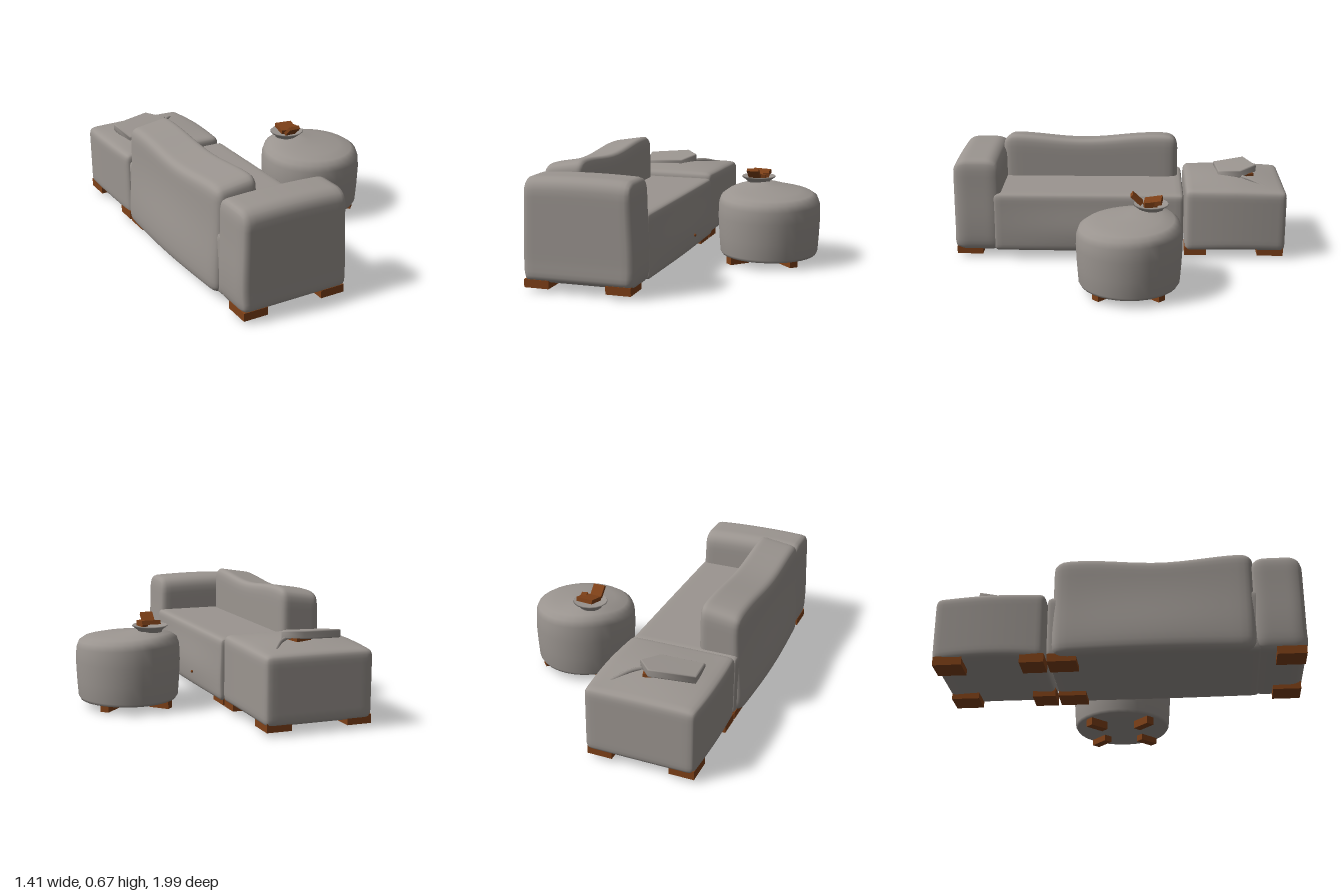
import * as THREE from 'three';
import { mergeVertices } from 'three/addons/utils/BufferGeometryUtils.js';

const fabric = new THREE.MeshStandardMaterial({ color: 0x9b9590 });
fabric.name = 'warm grey fabric';
fabric.side = THREE.DoubleSide;
const wood = new THREE.MeshStandardMaterial({ color: 0x7f4118 });
wood.name = 'brown wood';

const bump = (d, w) => Math.exp(-(d * d) / (w * w));

// Apply a rule to every vertex, then weld and smooth
function reshape(geometry, rule) {
  geometry.deleteAttribute('uv');
  geometry.deleteAttribute('normal');
  const g = mergeVertices(geometry, 1e-4);
  const pos = g.attributes.position;
  const v = new THREE.Vector3();
  for (let i = 0; i < pos.count; i++) {
    v.fromBufferAttribute(pos, i);
    rule(v);
    pos.setXYZ(i, v.x, v.y, v.z);
  }
  g.computeVertexNormals();
  return g;
}

// Upholstered block between two corners, with edge radii per axis
function softBlock(name, min, max, radii, deform = () => {}) {
  const lo = new THREE.Vector3(...min), hi = new THREE.Vector3(...max);
  const r = new THREE.Vector3(...radii);
  const inner = [lo.clone().add(r), hi.clone().sub(r)];
  const c = new THREE.Vector3(), d = new THREE.Vector3();
  const g = reshape(new THREE.BoxGeometry(1, 1, 1, 18, 18, 22), (v) => {
    for (const k of ['x', 'y', 'z']) {
      v[k] = lo[k] + (hi[k] - lo[k]) * (Math.sin(Math.PI * v[k]) / 2 + 0.5);
    }
    c.copy(v).clamp(inner[0], inner[1]);
    d.copy(v).sub(c).divide(r);
    // Round the shell by normalising the offset, keeping its face depth
    const reach = Math.max(Math.abs(d.x), Math.abs(d.y), Math.abs(d.z));
    if (reach > 0) d.setLength(reach);
    v.copy(c).add(d.multiply(r));
    deform(v);
  });
  return named(new THREE.Mesh(g, fabric), name);
}

function named(object, name) {
  object.name = name;
  return object;
}

function woodBlock(name, size, position, rotation = [0, 0, 0]) {
  const m = new THREE.Mesh(new THREE.BoxGeometry(...size), wood);
  m.position.set(...position);
  m.rotation.set(...rotation);
  return named(m, name);
}

function buildSofa() {
  const sofa = named(new THREE.Group(), 'sofa');
  // Seat front swells out near the bottom
  sofa.add(softBlock('seat', [-0.66, 0.05, -0.385], [-0.04, 0.41, 0.75], [0.03, 0.035, 0.02], (v) => {
    if (v.x > -0.3) v.x += 0.02 * bump(v.y - 0.17, 0.14) * bump(v.z - 0.15, 0.5);
  }));
  // Backrest: wavy top, higher on the inside, flared towards the base
  sofa.add(softBlock('backrest', [-0.665, 0.05, -0.355], [-0.42, 0.64, 0.725], [0.04, 0.06, 0.07], (v) => {
    const up = Math.max(0, (v.y - 0.4) / 0.24);
    v.y += up * (0.015 * Math.cos((v.z + 0.22) * 7) + 0.16 * (v.x + 0.54));
    if (v.x < -0.55) v.x -= 0.045 * bump(v.y - 0.12, 0.24) * bump(v.z - 0.15, 0.7);
  }));
  // Single armrest with a rounded roll across the top
  sofa.add(softBlock('armrest', [-0.66, 0.05, 0.705], [-0.05, 0.61, 0.985], [0.03, 0.08, 0.08], (v) => {
    const t = (v.x + 0.355) / 0.305;
    if (v.y > 0.4) v.y += 0.01 * (1 - t * t);
    if (v.y < 0.2) v.z += (v.z - 0.845) * 0.35 * bump(v.y - 0.05, 0.05) * 0.5;
    v.z = Math.min(v.z, 0.99);
    v.x += t * 0.012 * bump(v.y - 0.2, 0.2);
  }));
  for (const z of [-0.31, 0.9]) {
    for (const x of [-0.59, -0.13]) {
      sofa.add(woodBlock('sofaFoot', [0.14, 0.045, 0.155], [x, 0.0475, z - (z < 0 ? -0.01 : 0)]));
    }
  }
  // Small button on the seat front
  const button = named(new THREE.Mesh(new THREE.SphereGeometry(0.009, 8, 6), wood), 'seatButton');
  button.position.set(-0.02, 0.14, 0.03);
  sofa.add(button);
  return sofa;
}

function buildSquareOttoman() {
  const ottoman = named(new THREE.Group(), 'squareOttoman');
  ottoman.add(softBlock('ottomanCushion', [-0.66, 0.05, -0.998], [-0.05, 0.435, -0.395], [0.035, 0.04, 0.03], (v) => {
    const x = (v.x + 0.355) / 0.305, z = (v.z + 0.7) / 0.3;
    const belly = Math.max(0, 1 - z * z);
    v.x += x * 0.015 * belly;
    if (v.y > 0.3) v.y += 0.025 * Math.max(0, 1 - x * x) * belly - 0.01 * Math.max(0, -z);
    if (v.y < 0.15) v.y += 0.012 * belly;
  }));
  for (const z of [-0.46, -0.91]) {
    for (const x of [-0.59, -0.13]) {
      ottoman.add(woodBlock('ottomanFoot', [0.14, 0.05, z < -0.6 ? 0.155 : 0.13], [x, 0.05, z]));
    }
  }
  // Folded throw: a five-sided flap lifted towards one edge
  const outline = [[-0.57, -0.77], [-0.34, -0.825], [-0.26, -0.73], [-0.32, -0.61], [-0.55, -0.595]];
  const flap = new THREE.ExtrudeGeometry(
    new THREE.Shape(outline.map(([x, z]) => new THREE.Vector2(x, -z))),
    { depth: 0.03, bevelEnabled: true, bevelSize: 0.008, bevelThickness: 0.008, bevelSegments: 2 }
  );
  flap.rotateX(-Math.PI / 2);
  const throwMesh = new THREE.Mesh(reshape(flap, (v) => {
    v.y += 0.435 + 0.15 * (-v.z - 0.6) + 0.03 * (v.x + 0.57);
  }), fabric);
  ottoman.add(named(throwMesh, 'foldedThrow'));
  // Crease running off the flap, and the item tucked beneath it
  const crease = new THREE.CatmullRomCurve3([
    new THREE.Vector3(-0.28, 0.458, -0.73),
    new THREE.Vector3(-0.22, 0.456, -0.79),
    new THREE.Vector3(-0.15, 0.43, -0.88),
  ]);
  ottoman.add(named(new THREE.Mesh(new THREE.TubeGeometry(crease, 8, 0.012, 6), fabric), 'throwCrease'));
  ottoman.add(woodBlock('tuckedItem', [0.1, 0.018, 0.1], [-0.335, 0.456, -0.755], [0.1, 0.3, 0]));
  return ottoman;
}

function buildRoundPouf() {
  const pouf = named(new THREE.Group(), 'roundPouf');
  const [cx, cz] = [0.405, -0.068];
  const [tx, tz] = [0.31, -0.188];
  // Drum with a soft shoulder, swelling up beneath the dish
  const profile = [[0, 0.05], [0.2, 0.048], [0.275, 0.048], [0.285, 0.065], [0.292, 0.16], [0.297, 0.27],
    [0.293, 0.35], [0.28, 0.385], [0.25, 0.405], [0.18, 0.418], [0.09, 0.425], [0, 0.428]];
  const drum = new THREE.LatheGeometry(profile.map(([r, y]) => new THREE.Vector2(r, y)), 32);
  const body = new THREE.Mesh(reshape(drum, (v) => {
    v.x += cx;
    v.z += cz;
    if (v.y > 0.3) {
      v.y += 0.028 * bump(Math.hypot(v.x - tx, v.z - tz), 0.14) - 0.04 * (v.z - cz) - 0.01 * (v.x - cx);
    }
  }), fabric);
  pouf.add(named(body, 'poufCushion'));

  // Shallow flared dish
  const dishProfile = [[0.065, 0.43], [0.07, 0.452], [0.1, 0.474], [0.096, 0.48], [0.07, 0.47], [0, 0.468]];
  const dish = new THREE.Mesh(new THREE.LatheGeometry(dishProfile.map(([r, y]) => new THREE.Vector2(r, y)), 16), fabric);
  dish.position.set(tx, 0, tz);
  pouf.add(named(dish, 'dish'));

  // Wooden pieces resting in the dish
  pouf.add(woodBlock('dishPiece', [0.105, 0.024, 0.1], [0.315, 0.492, -0.2], [0.18, -0.1, 0]));
  pouf.add(woodBlock('dishPiece', [0.07, 0.02, 0.075], [0.3, 0.503, -0.108], [-0.75, 0, 0]));
  pouf.add(woodBlock('dishPiece', [0.035, 0.03, 0.07], [0.355, 0.488, -0.185], [0, 0.2, 0]));

  // Four splayed feet
  for (const [sx, sz] of [[1, 1], [1, -1], [-1, 1], [-1, -1]]) {
    const high = sx > 0 ? 0.012 : 0.002;
    pouf.add(woodBlock('poufFoot', [0.12, 0.06, 0.05],
      [cx + sx * 0.15, high + 0.03, cz + sz * 0.14], [0, -sx * sz * Math.PI / 4, 0]));
  }
  return pouf;
}

export function createModel() {
  const model = named(new THREE.Group(), 'loungeSet');
  model.add(buildSofa(), buildSquareOttoman(), buildRoundPouf());
  return model;
}
